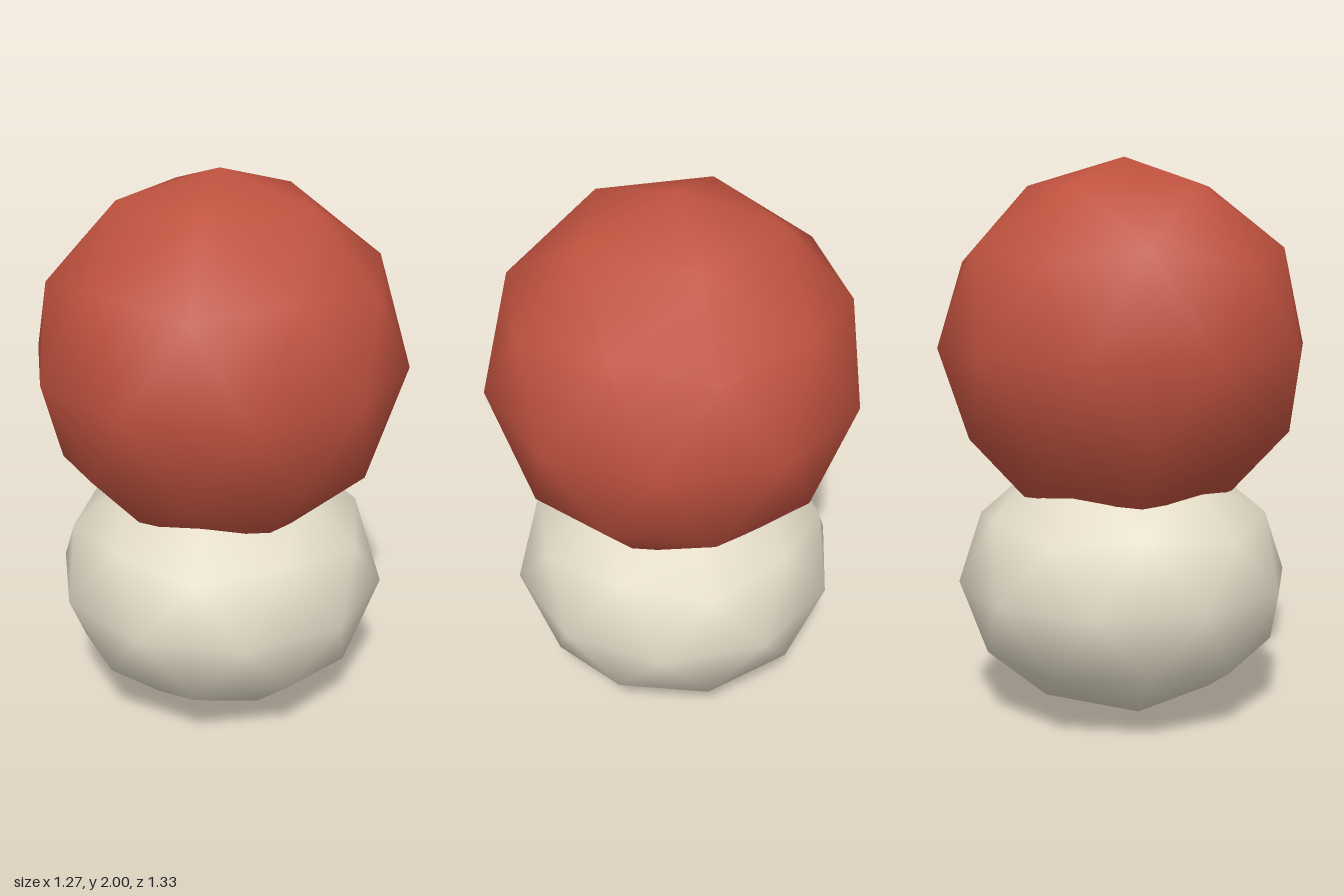
import * as THREE from 'three';

// Once-divided icosphere, turned so that one corner points straight up
function makeBall(name, color, radius, squash, y) {
  const geometry = new THREE.IcosahedronGeometry(radius, 1);
  const golden = (1 + Math.sqrt(5)) / 2;
  geometry.rotateZ(-Math.atan(1 / golden));
  geometry.scale(1, squash, 1);
  const mesh = new THREE.Mesh(geometry, new THREE.MeshStandardMaterial({ color }));
  mesh.name = name;
  mesh.position.y = y;
  return mesh;
}

export function createModel() {
  const model = new THREE.Group();
  model.name = 'stackedBalls';

  // Squashed pale ball at the bottom
  model.add(makeBall('lowerBall', 0xe4dcc8, 0.606, 0.8, 0.485));
  // Round red ball sunk into its top
  model.add(makeBall('upperBall', 0xc0523f, 0.667, 1, 1.333));

  return model;
}
